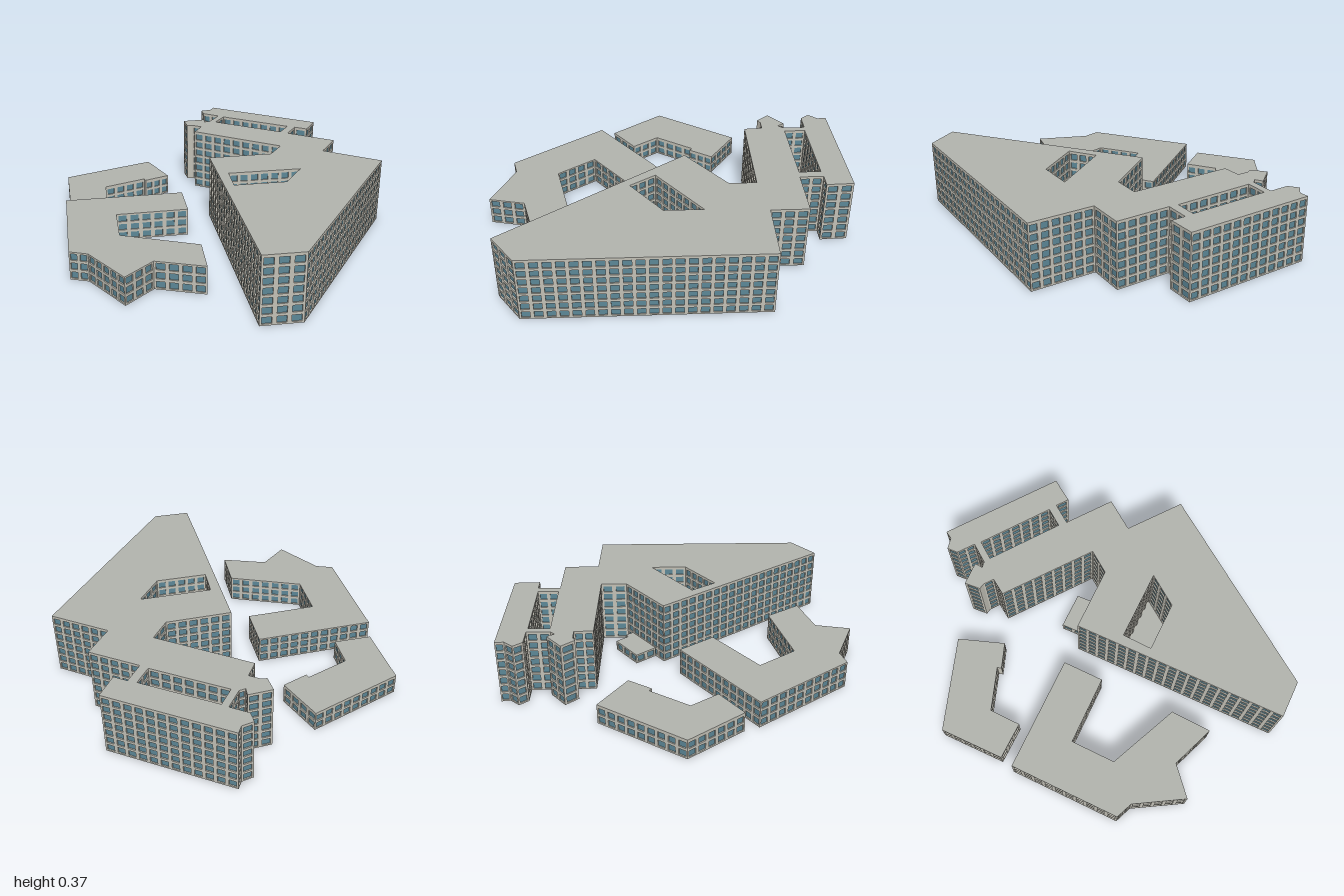
import * as THREE from 'three';

const wallMat = new THREE.MeshStandardMaterial({ color: 0xc2c0b6, side: THREE.DoubleSide });
const glassMat = new THREE.MeshStandardMaterial({ color: 0x5c8797, side: THREE.DoubleSide });
const roofMat = new THREE.MeshStandardMaterial({ color: 0xb2b4ae, side: THREE.DoubleSide });
wallMat.name = 'wall';
glassMat.name = 'window glass';
roofMat.name = 'roof';

const FLOOR = 0.051;   // storey height
const BAY = 0.062;     // window spacing
const RECESS = 0.007;  // depth of the window reveals

// Footprints as [x, z] corners
const mainBlock = [
  [-0.39, -0.995], [0.335, -1], [0.34, -0.85], [0.26, -0.85], [0.26, -0.72], [0.56, -0.72],
  [0.56, -0.515], [0.915, -0.51], [0.915, 0.75], [0.74, 0.875], [0.01, -0.11], [0.305, -0.33],
  [0.305, -0.48], [-0.275, -0.485], [-0.28, -0.59], [-0.345, -0.59], [-0.375, -0.575],
  [-0.435, -0.645], [-0.33, -0.73], [-0.305, -0.69], [-0.28, -0.715], [-0.28, -0.845],
  [-0.39, -0.845], [-0.43, -0.895], [-0.385, -0.945],
];
const courtyards = [
  [[-0.24, -0.84], [0.21, -0.845], [0.21, -0.725], [-0.24, -0.72]],
  [[0.21, 0.06], [0.54, -0.18], [0.54, 0.03], [0.305, 0.2]],
];
const frontBlock = [
  [-0.125, -0.02], [0.015, 0.175], [-0.305, 0.415], [-0.155, 0.625], [0.275, 0.53], [0.405, 0.725],
  [0.145, 0.795], [0.1, 0.995], [-0.185, 0.875], [-0.285, 0.9], [-0.665, 0.38],
];
const sideBlock = [
  [-0.605, -0.46], [-0.375, -0.305], [-0.46, -0.175], [-0.48, -0.19], [-0.625, 0.025],
  [-0.52, 0.175], [-0.695, 0.3], [-0.92, 0],
];
const annex = [
  [-0.01, -0.27], [0.16, -0.395], [0.215, -0.325], [0.235, -0.34], [0.265, -0.3], [0.075, -0.16],
];

const toVectors = (pts) => pts.map(([x, z]) => new THREE.Vector2(x, z));

function meshFrom(positions, material, name) {
  const geo = new THREE.BufferGeometry();
  geo.setAttribute('position', new THREE.Float32BufferAttribute(positions, 3));
  geo.computeVertexNormals();
  const mesh = new THREE.Mesh(geo, material);
  mesh.name = name;
  return mesh;
}

// Horizontal slab face from a footprint, with optional openings
function flat(outline, holes, y, name) {
  const flip = ([x, z]) => new THREE.Vector2(x, -z);
  const shape = new THREE.Shape(outline.map(flip));
  shape.holes = holes.map((h) => new THREE.Path(h.map(flip)));
  const geo = new THREE.ShapeGeometry(shape);
  geo.rotateX(-Math.PI / 2);
  const mesh = new THREE.Mesh(geo, roofMat);
  mesh.position.y = y;
  mesh.name = name;
  return mesh;
}

// One straight facade: a grid of bays, each with a recessed window
function addFacade(a, b, floors, height, wall, glass) {
  const len = a.distanceTo(b);
  const dx = (b.x - a.x) / len, dz = (b.y - a.y) / len;
  // s along the wall, y up, d inward from the face
  const point = (s, y, d) => [a.x + dx * s - dz * d, y, a.y + dz * s + dx * d];
  const quad = (out, p, q, r, t) => out.push(...p, ...r, ...q, ...p, ...t, ...r);
  const face = (out, s0, s1, y0, y1, d = 0) =>
    quad(out, point(s0, y0, d), point(s1, y0, d), point(s1, y1, d), point(s0, y1, d));

  const top = floors * FLOOR;
  if (height > top) face(wall, 0, len, top, height); // parapet band
  if (len < 0.035) {
    face(wall, 0, len, 0, top);
    return;
  }
  const bays = Math.max(1, Math.round(len / BAY));
  const w = len / bays;
  for (let f = 0; f < floors; f++) {
    const y0 = f * FLOOR, y1 = y0 + FLOOR;
    const v0 = y0 + 0.009, v1 = y1 - 0.006;
    face(wall, 0, len, y0, v0);
    face(wall, 0, len, v1, y1);
    for (let i = 0; i < bays; i++) {
      const s0 = i * w, s1 = s0 + w;
      const u0 = s0 + w * 0.16, u1 = s1 - w * 0.16;
      face(wall, s0, u0, v0, v1);
      face(wall, u1, s1, v0, v1);
      face(glass, u0, u1, v0, v1, RECESS);
      const rim = [[u0, v0], [u0, v1], [u1, v1], [u1, v0]];
      rim.forEach(([s, y], k) => {
        const [s2, y2] = rim[(k + 1) % 4];
        quad(wall, point(s, y, 0), point(s2, y2, 0), point(s2, y2, RECESS), point(s, y, RECESS));
      });
    }
  }
}

// Whole building: facades around the outline and courtyards, plus the roof
function building(name, outline, holes, floors, height) {
  const group = new THREE.Group();
  group.name = name;
  const wall = [], glass = [];
  [outline, ...holes].forEach((ring, index) => {
    const pts = toVectors(ring);
    const outer = index === 0;
    if ((THREE.ShapeUtils.area(pts) > 0) !== outer) pts.reverse();
    pts.forEach((p, i) => addFacade(p, pts[(i + 1) % pts.length], floors, height, wall, glass));
  });
  group.add(meshFrom(wall, wallMat, 'walls'), meshFrom(glass, glassMat, 'windows'));
  group.add(flat(outline, holes, height, 'roof'));
  holes.forEach((h) => group.add(flat(h, [], 0.001, 'courtyardFloor')));
  return group;
}

export function createModel() {
  const model = new THREE.Group();
  model.name = 'buildingComplex';
  model.add(building('mainBuilding', mainBlock, courtyards, 7, 0.367));
  model.add(building('frontBuilding', frontBlock, [], 3, 0.157));
  model.add(building('sideBuilding', sideBlock, [], 2, 0.115));
  const entrance = building('entranceAnnex', annex, [], 1, 0.056);
  entrance.add(flat(annex, [], 0, 'annexFloor'));
  model.add(entrance);
  return model;
}
